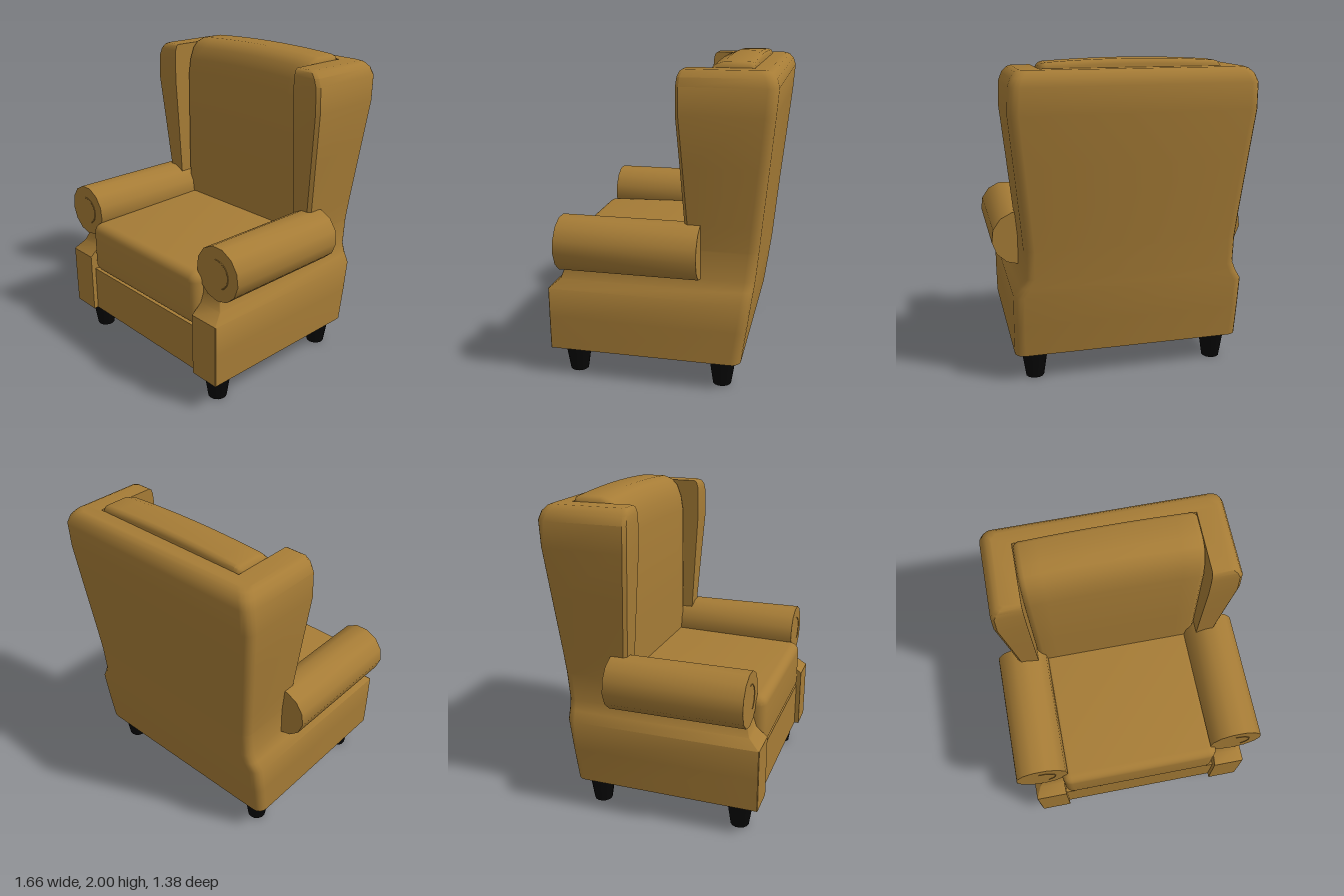
import * as THREE from 'three';
import { toCreasedNormals } from 'three/addons/utils/BufferGeometryUtils.js';
import { RoundedBoxGeometry } from 'three/addons/geometries/RoundedBoxGeometry.js';

const leather = new THREE.MeshStandardMaterial({ color: 0xa67c36 });
leather.name = 'tan leather';
const blackWood = new THREE.MeshStandardMaterial({ color: 0x060606 });
blackWood.name = 'black wood';
const darkLining = new THREE.MeshStandardMaterial({ color: 0x50300f });
darkLining.name = 'dark brown lining';

// U-shaped outline seen from above: open at the front, rounded at the back corners.
function shellRing({ w, zb, zf, xi, zi, c }) {
  const r = 0.06;
  const half = [[xi, zf], [w - c, zf], [w, zf - c]];
  for (let i = 0; i <= 4; i++) {
    const a = (i / 4) * Math.PI / 2;
    half.push([w - r + r * Math.cos(a), zb + r - r * Math.sin(a)]);
  }
  const other = half.map(([x, z]) => [-x, z]).reverse();
  return [...half, ...other, [-xi, zi], [xi, zi]];
}

// Loft through the rings, bottom to top, with both ends capped.
function loftShell(rows) {
  const rings = rows.map(shellRing);
  const n = rings[0].length;
  const pos = [], index = [];
  rings.forEach((ring, i) => ring.forEach(([x, z]) => pos.push(x, rows[i].y, z)));
  for (let i = 0; i < rings.length - 1; i++) {
    for (let j = 0; j < n; j++) {
      const k = (j + 1) % n;
      const a = i * n + j, b = i * n + k, c = a + n, d = b + n;
      index.push(a, b, d, a, d, c);
    }
  }
  const cap = (ring) => THREE.ShapeUtils.triangulateShape(
    ring.map(([x, z]) => new THREE.Vector2(x, -z)), []);
  const top = (rings.length - 1) * n;
  cap(rings[0]).forEach(([a, b, c]) => index.push(a, c, b));
  cap(rings[rings.length - 1]).forEach(([a, b, c]) => index.push(top + a, top + b, top + c));
  const geo = new THREE.BufferGeometry();
  geo.setAttribute('position', new THREE.Float32BufferAttribute(pos, 3));
  geo.setIndex(index);
  return toCreasedNormals(geo, 0.77);
}

// Back cushion: side profile extruded across, with a gently crowned top.
function backCushionGeometry() {
  const profile = [[-0.54, 0.6], [-0.23, 0.6], [-0.22, 1.2], [-0.22, 1.76], [-0.235, 1.86],
    [-0.265, 1.94], [-0.305, 1.98], [-0.36, 2.0], [-0.51, 2.0], [-0.531, 1.991], [-0.54, 1.97]];
  const shape = new THREE.Shape(profile.map(([z, y]) => new THREE.Vector2(z, y)));
  const bevel = 0.04, width = 1.1;
  const geo = new THREE.ExtrudeGeometry(shape, {
    depth: width - 2 * bevel, steps: 10, bevelEnabled: true,
    bevelSize: bevel, bevelThickness: bevel, bevelOffset: -bevel, bevelSegments: 3,
  });
  geo.translate(0, 0, -(width / 2 - bevel));
  geo.rotateY(-Math.PI / 2);
  const p = geo.attributes.position;
  for (let i = 0; i < p.count; i++) {
    if (p.getY(i) > 1.7) p.setY(i, p.getY(i) - 0.02 * (p.getX(i) / 0.55) ** 2);
  }
  return toCreasedNormals(geo, 0.8);
}

// Lining under the chair, following the notch between the arm posts.
function liningGeometry() {
  const half = [[0.53, 0.66], [0.53, 0.688], [0.73, 0.688], [0.73, -0.455], [0.712, -0.495], [0.672, -0.513]];
  const outline = [...half, ...half.map(([x, z]) => [-x, z]).reverse()];
  const geo = new THREE.ShapeGeometry(new THREE.Shape(outline.map(([x, z]) => new THREE.Vector2(x, z))));
  return geo.rotateX(Math.PI / 2);
}

export function createModel() {
  const chair = new THREE.Group();
  chair.name = 'wingArmchair';
  const add = (name, geo, mat, x = 0, y = 0, z = 0) => {
    const mesh = new THREE.Mesh(geo, mat);
    mesh.name = name;
    mesh.position.set(x, y, z);
    chair.add(mesh);
    return mesh;
  };

  // Frame: arm posts below, outer back and wings above
  const low = { xi: 0.53, zi: -0.4, c: 0.004 };
  const high = { xi: 0.55, zi: -0.54, c: 0.02 };
  add('frameAndWings', loftShell([
    { ...low, y: 0.187, w: 0.732, zb: -0.515, zf: 0.69 },
    { ...low, y: 0.4, w: 0.735, zb: -0.545, zf: 0.69 },
    { ...low, y: 0.59, w: 0.735, zb: -0.57, zf: 0.69 },
    { ...low, y: 0.65, w: 0.698, zb: -0.577, zf: 0.62 },
    { ...low, y: 0.71, w: 0.672, zb: -0.584, zf: 0.6 },
    { ...low, y: 0.88, w: 0.67, zb: -0.6, zf: 0.59 },
    { ...high, zi: -0.45, y: 0.89, w: 0.67, zb: -0.601, zf: -0.17 },
    { ...high, zi: -0.48, y: 1.05, w: 0.684, zb: -0.616, zf: -0.16 },
    { ...high, y: 1.4, w: 0.718, zb: -0.651, zf: -0.138 },
    { ...high, y: 1.7, w: 0.748, zb: -0.68, zf: -0.118 },
    { ...high, y: 1.86, w: 0.742, zb: -0.692, zf: -0.118 },
    { ...high, y: 1.91, w: 0.722, zb: -0.677, zf: -0.122 },
    { ...high, y: 1.94, w: 0.695, zb: -0.651, zf: -0.132 },
    { ...high, y: 1.95, w: 0.67, zb: -0.626, zf: -0.148 },
  ]), leather);

  // Seat platform, lining and cushions
  add('seatBase', new THREE.BoxGeometry(1.07, 0.305, 1.12), leather, 0, 0.3405, 0.1);
  add('undersideLining', liningGeometry(), darkLining, 0, 0.183, 0);
  const seat = new RoundedBoxGeometry(1.062, 0.36, 0.97, 4, 0.06);
  seat.translate(0, 0, 0.185);
  const p = seat.attributes.position;
  for (let i = 0; i < p.count; i++) {
    if (p.getY(i) > 0.1) p.setY(i, p.getY(i) + 0.012 - 0.035 * Math.max(0, p.getZ(i)));
  }
  seat.computeVertexNormals();
  add('seatCushion', toCreasedNormals(seat, 0.7), leather, 0, 0.67, 0);
  add('backCushion', backCushionGeometry(), leather);

  // Rolled arms with a fine piped curl on each front end
  const roll = toCreasedNormals(new THREE.CylinderGeometry(0.173, 0.173, 0.87, 13).rotateX(Math.PI / 2), 0.6);
  const curl = new THREE.TorusGeometry(0.09, 0.004, 5, 20, Math.PI * 0.9).rotateZ(-Math.PI * 0.35);
  for (const side of [-1, 1]) {
    const label = side > 0 ? 'left' : 'right';
    add(`${label}ArmRoll`, roll, leather, side * 0.66, 0.88, 0.175);
    add(`${label}ArmCurl`, curl, leather, side * 0.66, 0.88, 0.61);
  }

  // Tapered legs
  const leg = new THREE.CylinderGeometry(0.087, 0.058, 0.19, 14);
  for (const x of [-0.6, 0.6]) {
    for (const z of [-0.39, 0.55]) {
      add(`${z > 0 ? 'front' : 'back'}${x > 0 ? 'Left' : 'Right'}Leg`, leg, blackWood, x, 0.095, z);
    }
  }
  return chair;
}
